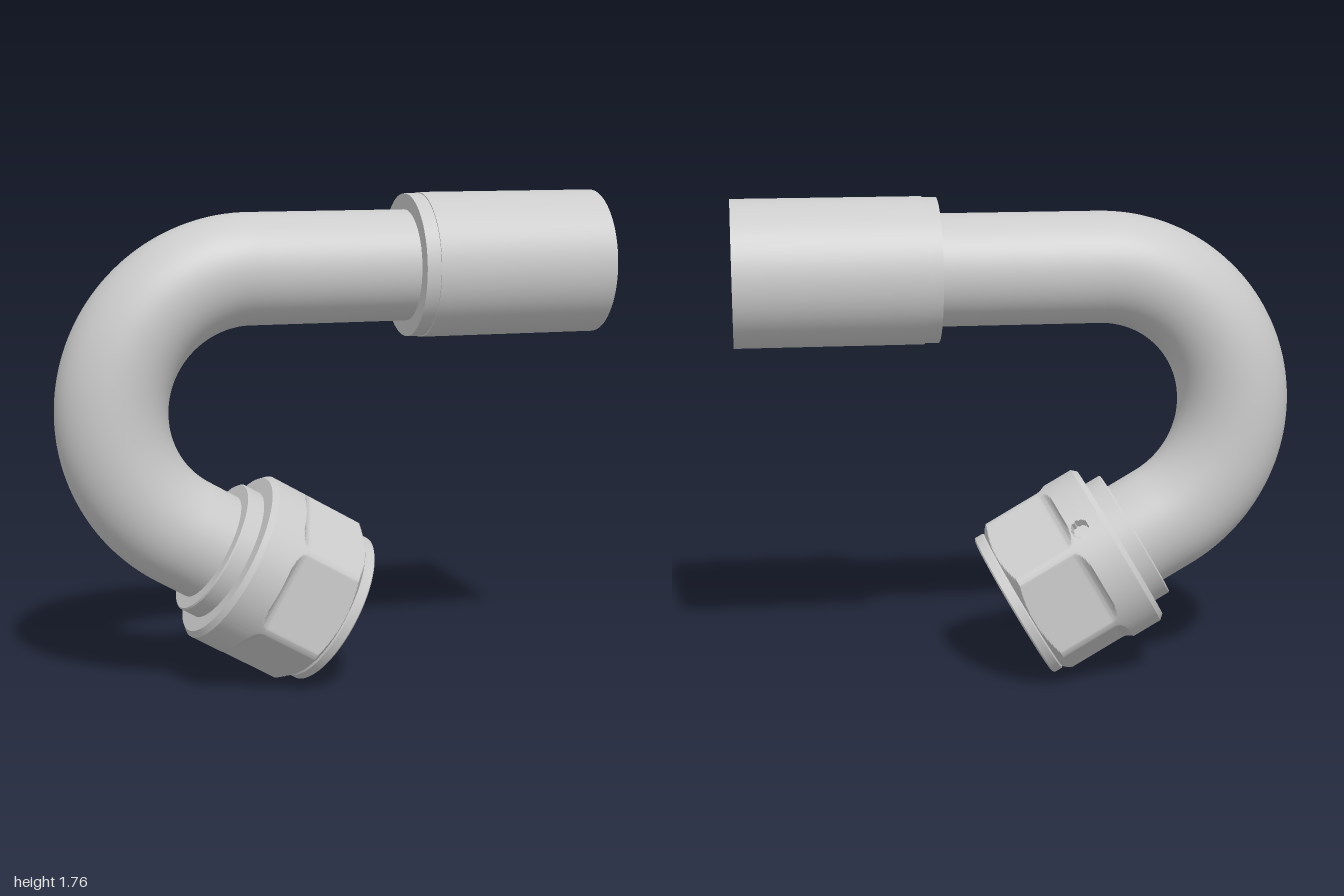
import * as THREE from 'three';
import { toCreasedNormals } from 'three/addons/utils/BufferGeometryUtils.js';

const grey = new THREE.MeshStandardMaterial({ color: 0xcccccc });
const greyDouble = new THREE.MeshStandardMaterial({ color: 0xcccccc, side: THREE.DoubleSide });

// Pipe centreline: straight run, 150 degree bend, short straight into the nut
const BEND = 0.5, CX = -0.3, CY = 1, START_X = 0.9, TAIL = 0.33;
const SWEEP = THREE.MathUtils.degToRad(150);
const NUT_POS = new THREE.Vector3(CX + BEND * Math.cos(Math.PI / 2 + SWEEP), CY + BEND * Math.sin(Math.PI / 2 + SWEEP), 0);

class Centreline extends THREE.Curve {
  getPoint(t, target = new THREE.Vector3()) {
    const run = START_X - CX, arc = BEND * SWEEP;
    const s = t * (run + arc + TAIL);
    if (s < run) return target.set(START_X - s, CY + BEND, 0);
    const a = Math.PI / 2 + Math.min(s - run, arc) / BEND;
    const rest = Math.max(0, s - run - arc);
    return target.set(
      CX + BEND * Math.cos(a) - rest * Math.sin(a),
      CY + BEND * Math.sin(a) + rest * Math.cos(a), 0);
  }
}

// Turned part from [radius, height] pairs
function turned(profile, segments = 96) {
  return new THREE.LatheGeometry(profile.map(([r, h]) => new THREE.Vector2(r, h)), segments);
}

function addMesh(parent, name, geometry, material = grey) {
  const mesh = new THREE.Mesh(geometry, material);
  mesh.name = name;
  parent.add(mesh);
  return mesh;
}

// Nut body: a turned blank with six flats, fillets at the collar and a small drilled dimple
function nutBody() {
  const R = 0.322, APOTHEM = 0.285, FILLET = 0.04, FLAT_START = 0.36;
  const profile = [[0.235, 0.186], [0.305, 0.186], [R, 0.205]];
  for (let h = 0.21; h < 0.574; h += 0.005) profile.push([R, h]);
  for (let i = 0; i <= 6; i++) profile.push([R - 0.042 * i / 6, 0.574 + 0.026 * i / 6]);
  profile.push([0.25, 0.6]);
  const geometry = turned(profile, 360);
  const p = geometry.attributes.position;
  const holeAngle = THREE.MathUtils.degToRad(-129.8), holeHeight = 0.287;
  for (let i = 0; i < p.count; i++) {
    const x = p.getX(i), h = p.getY(i), z = p.getZ(i);
    const r = Math.hypot(x, z), angle = Math.atan2(z, x);
    let limit = Infinity;
    if (h > FLAT_START - FILLET) {
      const d = Math.max(0, FLAT_START - h);
      const rise = FILLET - Math.sqrt(FILLET * FILLET - d * d);
      const sector = Math.PI / 3;
      const off = angle - (Math.floor(angle / sector + 1e-6) + 0.5) * sector;
      limit = (APOTHEM + rise) / Math.cos(off);
    }
    let radius = Math.min(r, limit);
    if (Math.hypot((angle - holeAngle) * R, h - holeHeight) < 0.03) radius -= 0.035;
    p.setX(i, x * radius / r);
    p.setZ(i, z * radius / r);
  }
  return toCreasedNormals(geometry, 0.4);
}

export function createModel() {
  const model = new THREE.Group();

  // Bent pipe with a through bore
  const path = new Centreline();
  addMesh(model, 'pipe', new THREE.TubeGeometry(path, 140, 0.2, 64));
  addMesh(model, 'pipeBore', new THREE.TubeGeometry(path, 140, 0.17, 64), greyDouble);

  // Crimp sleeve with a flared mouth
  const sleeve = addMesh(model, 'sleeve', toCreasedNormals(turned([
    [0.198, 0.28], [0.257, 0.28], [0.257, 0.332], [0.261, 0.332], [0.261, 1],
    [0.256, 1], [0.222, 0.93], [0.195, 0.93], [0.17, 0.9],
  ]), 0.4));
  sleeve.rotation.z = -Math.PI / 2;
  sleeve.position.y = CY + BEND;

  // Swivel nut assembly on the pipe's lower end
  const nut = new THREE.Group();
  nut.name = 'nutAssembly';
  nut.position.copy(NUT_POS);
  nut.rotation.z = -Math.PI / 2 - Math.PI / 6;
  model.add(nut);
  addMesh(nut, 'nutBody', nutBody());

  // Collar seated between pipe and nut
  addMesh(nut, 'collar', toCreasedNormals(turned([
    [0.198, 0.122], [0.245, 0.122], [0.25, 0.127], [0.25, 0.2],
  ]), 0.4));

  // Nut mouth, bore and the sealing cone at the pipe end
  addMesh(nut, 'mouth', toCreasedNormals(turned([
    [0.275, 0.595], [0.287, 0.605], [0.287, 0.635], [0.28, 0.641], [0.25, 0.641],
    [0.23, 0.62], [0.23, 0.4], [0.21, 0.37], [0.2, 0.33], [0.17, 0.325],
  ]), 0.4));

  return model;
}
